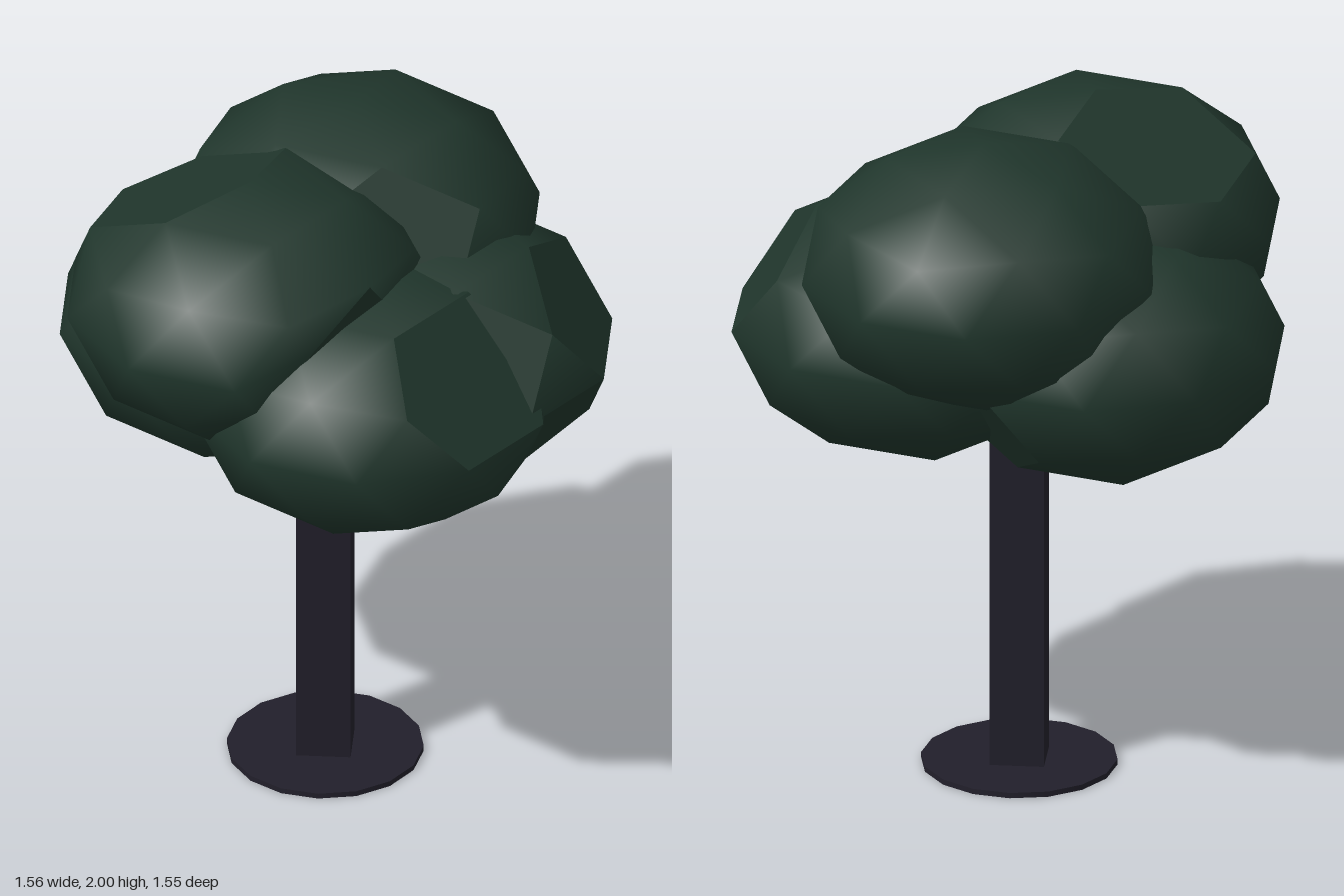
import * as THREE from 'three';

const bark = new THREE.MeshStandardMaterial({ color: 0x211f2a });
bark.name = 'dark bark';
const leaf = new THREE.MeshStandardMaterial({ color: 0x20362c });
leaf.name = 'deep green leaf';

const radii = new THREE.Vector3(0.53, 0.387, 0.53);

// Unit direction from height and azimuth in degrees (0 = +x, 90 = +z)
function direction(y, azimuth) {
  const a = THREE.MathUtils.degToRad(azimuth), s = Math.sqrt(1 - y * y);
  return new THREE.Vector3(s * Math.cos(a), y, s * Math.sin(a));
}

// Squashed low-poly ball with a corner at each pole, smooth except where
// planes shave it flat. cuts: [height, azimuth, distance]
function leafClump(cuts) {
  const geo = new THREE.IcosahedronGeometry(1, 1);
  geo.rotateX(-Math.atan2(1 + Math.sqrt(5), 2)).rotateY(Math.PI / 2);
  const pos = geo.attributes.position, nor = geo.attributes.normal;
  const planes = cuts.map(([y, azimuth, dist]) => ({ n: direction(y, azimuth), dist }));
  const setNormal = (i, v) => {
    const n = v.clone().divide(radii).normalize();
    nor.setXYZ(i, n.x, n.y, n.z);
  };

  for (let f = 0; f < pos.count; f += 3) {
    const corners = [f, f + 1, f + 2].map((i) => {
      const p = new THREE.Vector3().fromBufferAttribute(pos, i);
      setNormal(i, p);
      for (const { n, dist } of planes) {
        const over = p.dot(n) - dist;
        if (over > 0) p.addScaledVector(n, -over);
      }
      return p;
    });
    const flat = planes.find(({ n, dist }) => corners.every((p) => p.dot(n) > dist - 0.03));
    corners.forEach((p, k) => {
      if (flat) setNormal(f + k, flat.n);
      p.multiply(radii);
      pos.setXYZ(f + k, p.x, p.y, p.z);
    });
  }
  return geo;
}

export function createModel() {
  const tree = new THREE.Group();
  tree.name = 'tree';
  const add = (name, geo, mat, [x, y, z]) => {
    const mesh = new THREE.Mesh(geo, mat);
    mesh.name = name;
    mesh.position.set(x, y, z);
    tree.add(mesh);
  };

  // Base disc and square trunk
  add('baseDisc', new THREE.CylinderGeometry(0.28, 0.28, 0.016, 16), bark, [-0.025, 0.008, 0.012]);
  add('trunk', new THREE.BoxGeometry(0.155, 1.2, 0.155), bark, [-0.025, 0.61, 0.012]);

  // Crown: name, centre, cuts
  const clumps = [
    ['upperFrontClump', [-0.23, 1.613, 0.195], [[0.851, 216, 0.825], [-0.3, 38, 0.66]]],
    ['upperBackClump', [0.05, 1.613, -0.25], [[0.447, 72, 0.85]]],
    ['lowerFrontClump', [0.12, 1.35, 0.245], [[0.526, 36, 0.825]]],
    ['lowerLeftClump', [0.275, 1.357, 0], [[0.447, 0, 0.85], [0.447, 72, 0.85], [-0.447, 36, 0.85]]],
    ['lowerRightClump', [-0.275, 1.357, -0.13], [[-0.447, -36, 0.85]]],
  ];
  for (const [name, at, cuts] of clumps) add(name, leafClump(cuts), leaf, at);
  return tree;
}
